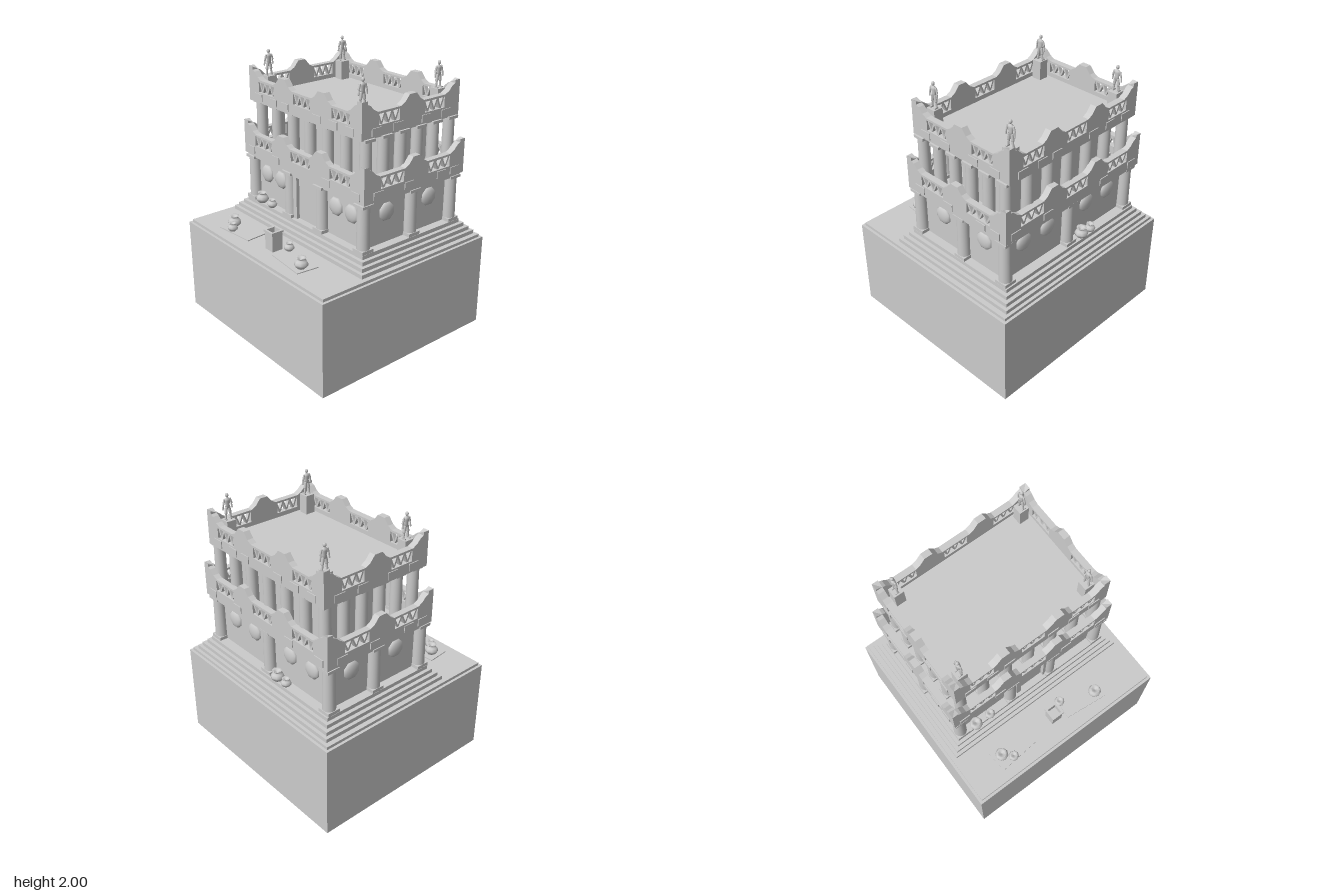
import * as THREE from 'three';

const mat = new THREE.MeshStandardMaterial({ color: 0xcccccc });
const open = new THREE.MeshStandardMaterial({ color: 0xcccccc, side: THREE.DoubleSide });
const CZ = -0.167; // centre of the building in z

function add(parent, name, geo, x = 0, y = 0, z = 0, material = mat) {
  const m = new THREE.Mesh(geo, material);
  m.name = name;
  m.position.set(x, y, z);
  parent.add(m);
  return m;
}

// Box given by its bottom and top heights
function block(parent, name, w, d, y0, y1, x = 0, z = 0) {
  return add(parent, name, new THREE.BoxGeometry(w, y1 - y0, d), x, (y0 + y1) / 2, z);
}

function column(parent, name, x, z, y0, y1, r) {
  const g = new THREE.Group();
  g.name = name;
  block(g, 'plinth', r * 2.1, r * 2.1, y0, y0 + 0.025, x, z);
  block(g, 'capital', r * 2.1, r * 2.1, y1 - 0.02, y1, x, z);
  add(g, 'shaft', new THREE.CylinderGeometry(r * 0.94, r, y1 - y0 - 0.04, 20), x, (y0 + y1) / 2, z);
  parent.add(g);
}

// Parapet side with corner horns, bumps, latticed openings and raised tiles
function parapetSide(hw, bumps, windows, ww, tiles, t) {
  const g = new THREE.Group();
  const top = 0.17, w0 = 0.08, w1 = 0.155;
  const pts = [[-hw, 0], [hw, 0], [hw, 0.255], [hw - 0.07, 0.222], [hw - 0.105, 0.188], [hw - 0.14, top]];
  for (const b of [...bumps].reverse()) {
    for (const [dx, dy] of [[0.105, 0], [0.07, 0.02], [0.032, 0.065], [-0.032, 0.065], [-0.07, 0.02], [-0.105, 0]])
      pts.push([b + dx, top + dy]);
  }
  pts.push([-hw + 0.14, top], [-hw + 0.105, 0.188], [-hw + 0.07, 0.222], [-hw, 0.255]);
  const shape = new THREE.Shape(pts.map(p => new THREE.Vector2(...p)));
  for (const c of windows) {
    const a = c - ww / 2, b = c + ww / 2;
    shape.holes.push(new THREE.Path([[a, w0], [a, w1], [b, w1], [b, w0]].map(p => new THREE.Vector2(...p))));
    // zigzag lattice
    const n = 6, dx = ww / n, h = w1 - w0;
    for (let i = 0; i < n; i++) {
      const bar = add(g, 'latticeBar', new THREE.BoxGeometry(0.013, Math.hypot(dx, h), t * 0.6),
        a + dx * (i + 0.5), (w0 + w1) / 2, t / 2);
      bar.rotation.z = (i % 2 ? -1 : 1) * Math.atan2(dx, h);
    }
  }
  add(g, 'parapetWall', new THREE.ExtrudeGeometry(shape, { depth: t, bevelEnabled: false }));
  for (const x of tiles) add(g, 'tile', new THREE.BoxGeometry(0.085, 0.052, 0.012), x, 0.042, t);
  return g;
}

function parapet(parent, name, y, hx, hz, front, side) {
  const t = 0.047, ring = new THREE.Group();
  ring.name = name;
  ring.position.set(0, y, CZ);
  for (let i = 0; i < 4; i++) {
    const s = i % 2 ? side : front;
    const pivot = new THREE.Group();
    pivot.name = ['front', 'right', 'back', 'left'][i] + 'Parapet';
    const p = parapetSide(i % 2 ? hz : hx, s.bumps, s.windows, s.ww, s.tiles, t);
    p.position.z = (i % 2 ? hx : hz) - t;
    pivot.add(p);
    pivot.rotation.y = i * Math.PI / 2;
    ring.add(pivot);
  }
  parent.add(ring);
}

function pot(parent, x, y, z, r) {
  const profile = [[0, 0], [0.55, 0], [0.95, 0.4], [1, 0.75], [0.8, 1.1], [0.52, 1.3], [0.58, 1.5], [0.75, 1.65], [0.45, 1.55], [0, 1.2]];
  add(parent, 'pot', new THREE.LatheGeometry(profile.map(p => new THREE.Vector2(p[0] * r, p[1] * r)), 8), x, y, z, open);
}

// Shallow eight-sided shield on a wall
function shield(parent, x, z, turn) {
  const geo = new THREE.SphereGeometry(0.07, 8, 8).rotateX(Math.PI / 2).rotateZ(Math.PI / 8).scale(1, 1, 0.4);
  add(parent, 'shield', geo, x, 1.068, z).rotation.y = turn;
}

// Standing figure, arms held a little away from the body
function statue(parent, x, y, z, turn) {
  const g = new THREE.Group();
  g.name = 'statue';
  const limb = (name, r, x0, y0, x1, y1, z0 = 0) => {
    const a = new THREE.Vector3(x0, y0, z0), b = new THREE.Vector3(x1, y1, z0);
    const curve = new THREE.LineCurve3(a, b);
    add(g, name, new THREE.CapsuleGeometry(r, curve.getLength(), 3, 8), (x0 + x1) / 2, (y0 + y1) / 2, z0)
      .rotation.z = -Math.atan2(x1 - x0, y1 - y0);
  };
  for (const s of [-1, 1]) {
    limb('shin', 0.0075, s * 0.021, 0.01, s * 0.017, 0.045);
    limb('thigh', 0.0105, s * 0.017, 0.05, s * 0.011, 0.088);
    limb('upperArm', 0.007, s * 0.024, 0.146, s * 0.033, 0.115);
    limb('forearm', 0.0055, s * 0.033, 0.112, s * 0.037, 0.08, 0.003);
    add(g, 'foot', new THREE.BoxGeometry(0.012, 0.008, 0.03), s * 0.021, 0.004, 0.005);
  }
  const torso = [[0, 0.082], [0.019, 0.086], [0.016, 0.108], [0.023, 0.137], [0.02, 0.15], [0.008, 0.156], [0.007, 0.164]];
  add(g, 'torso', new THREE.LatheGeometry(torso.map(p => new THREE.Vector2(...p)), 12).scale(1, 1, 0.65));
  add(g, 'head', new THREE.SphereGeometry(0.0125, 10, 8).scale(0.9, 1.2, 1), 0, 0.175, 0.002);
  g.position.set(x, y, z);
  g.rotation.y = turn;
  parent.add(g);
}

export function createModel() {
  const model = new THREE.Group();
  model.name = 'temple';

  // Hollow podium, open underneath
  const podium = new THREE.BoxGeometry(1.6, 0.705, 1.51);
  const idx = Array.from(podium.index.array);
  idx.splice(18, 6);
  podium.setIndex(idx);
  podium.clearGroups();
  add(model, 'podium', podium, 0, 0.3525, 0, open);
  block(model, 'deck', 1.56, 1.47, 0.705, 0.727);

  // Stepped platform
  [[0.745, 0.545], [0.72, 0.52], [0.692, 0.493], [0.665, 0.468]].forEach(([hx, hz], i) =>
    block(model, 'step', hx * 2, hz * 2, 0.727 + i * 0.0283, 0.727 + (i + 1) * 0.0283, 0, CZ));

  // Lower storey
  const x0 = 0.614, zf = 0.254, zb = -0.575, wf = 0.24, wb = -0.56;
  block(model, 'lowerWall', 1.2, wf - wb, 0.84, 1.185, 0, (wf + wb) / 2);
  const spots = [[-0.166, zf], [0.187, zf], [0.01, zb]];
  for (const s of [-1, 1]) for (const z of [zf, -0.18, zb]) spots.push([s * x0, z]);
  for (const [x, z] of spots) column(model, 'lowerColumn', x, z, 0.84, 1.19, 0.047);
  for (const x of [-0.475, -0.305, 0.32, 0.483]) shield(model, x, wf, 0);
  for (const x of [-0.43, -0.2, 0.2, 0.43]) shield(model, x, wb, 0);
  for (const s of [-1, 1]) for (const z of [0.033, -0.37]) shield(model, s * 0.6, z, Math.PI / 2);

  // Doorway
  for (const x of [-0.1, 0.142]) block(model, 'doorJamb', 0.04, 0.04, 0.84, 1.17, x, wf + 0.015);
  block(model, 'doorLintel', 0.282, 0.05, 1.165, 1.195, 0.021, wf + 0.015);
  block(model, 'door', 0.202, 0.012, 0.84, 1.165, 0.021, wf + 0.003);

  // Lower cornice and parapet
  block(model, 'upperFloor', 1.31, 0.91, 1.18, 1.22, 0, CZ);
  parapet(model, 'lowerParapet', 1.205, 0.672, 0.47,
    { bumps: [-0.22, 0.21], windows: [-0.43, 0.003, 0.43], ww: 0.21, tiles: [-0.585, -0.283, 0.285, 0.59] },
    { bumps: [0], windows: [-0.22, 0.22], ww: 0.21, tiles: [-0.345, -0.065, 0.245, 0.375] });

  // Upper storey: colonnade around an inner chamber
  block(model, 'innerChamber', 0.92, 0.45, 1.22, 1.63, 0, -0.245);
  const nx = 7, nz = 6;
  for (let i = 0; i < nx; i++) for (let j = 0; j < nz; j++) {
    if (i > 0 && i < nx - 1 && j > 0 && j < nz - 1) continue;
    column(model, 'upperColumn', -0.56 + i * 0.19 + 0.005, 0.217 - j * 0.1544, 1.22, 1.625, 0.043);
  }

  // Roof and upper parapet
  block(model, 'roof', 1.18, 0.85, 1.622, 1.668, 0, CZ - 0.003);
  parapet(model, 'upperParapet', 1.62, 0.615, 0.447,
    { bumps: [-0.22, 0.21], windows: [-0.405, 0, 0.41], ww: 0.185, tiles: [-0.5, -0.325, -0.19, 0.165, 0.335, 0.5] },
    { bumps: [0], windows: [-0.21, 0.21], ww: 0.185, tiles: [-0.32, -0.13, 0.13, 0.32] });

  // Corner statues on pedestals
  for (const s of [-1, 1]) for (const z of [0.18, -0.515]) {
    block(model, 'statuePedestal', 0.074, 0.074, 1.66, 1.81, s * 0.506, z);
    statue(model, s * 0.506, 1.81, z, s * Math.PI / 2);
  }

  // Altar with a hollow top
  const frame = (h, k) => new THREE.Path([[-h, -h], [h, -h], [h, h], [-h, h]].map(p => new THREE.Vector2(p[0] * k, p[1] * k)));
  const tube = (name, h, y0, y1) => {
    const shape = new THREE.Shape(frame(h, 1).getPoints());
    shape.holes.push(frame(0.034, 1));
    const geo = new THREE.ExtrudeGeometry(shape, { depth: y1 - y0, bevelEnabled: false }).rotateX(-Math.PI / 2);
    add(model, name, geo, 0.015, y0, 0.553);
  };
  tube('altarBody', 0.043, 0.727, 0.86);
  tube('altarRim', 0.05, 0.86, 0.875);
  block(model, 'altarFloor', 0.07, 0.07, 0.727, 0.81, 0.015, 0.553);

  // Mats and pots
  block(model, 'mat', 0.327, 0.166, 0.727, 0.734, -0.368, 0.56).rotation.y = 0.09;
  block(model, 'mat', 0.327, 0.166, 0.727, 0.734, 0.265, 0.56).rotation.y = -0.1;
  const pots = [[-0.47, 0.734, 0.56, 0.049], [-0.405, 0.734, 0.62, 0.038], [0.115, 0.734, 0.495, 0.038], [0.375, 0.734, 0.59, 0.049],
    [-0.495, 0.84, 0.285, 0.049], [-0.37, 0.84, 0.285, 0.038], [-0.11, 0.84, -0.61, 0.049], [-0.205, 0.84, -0.61, 0.038]];
  for (const p of pots) pot(model, ...p);

  return model;
}
